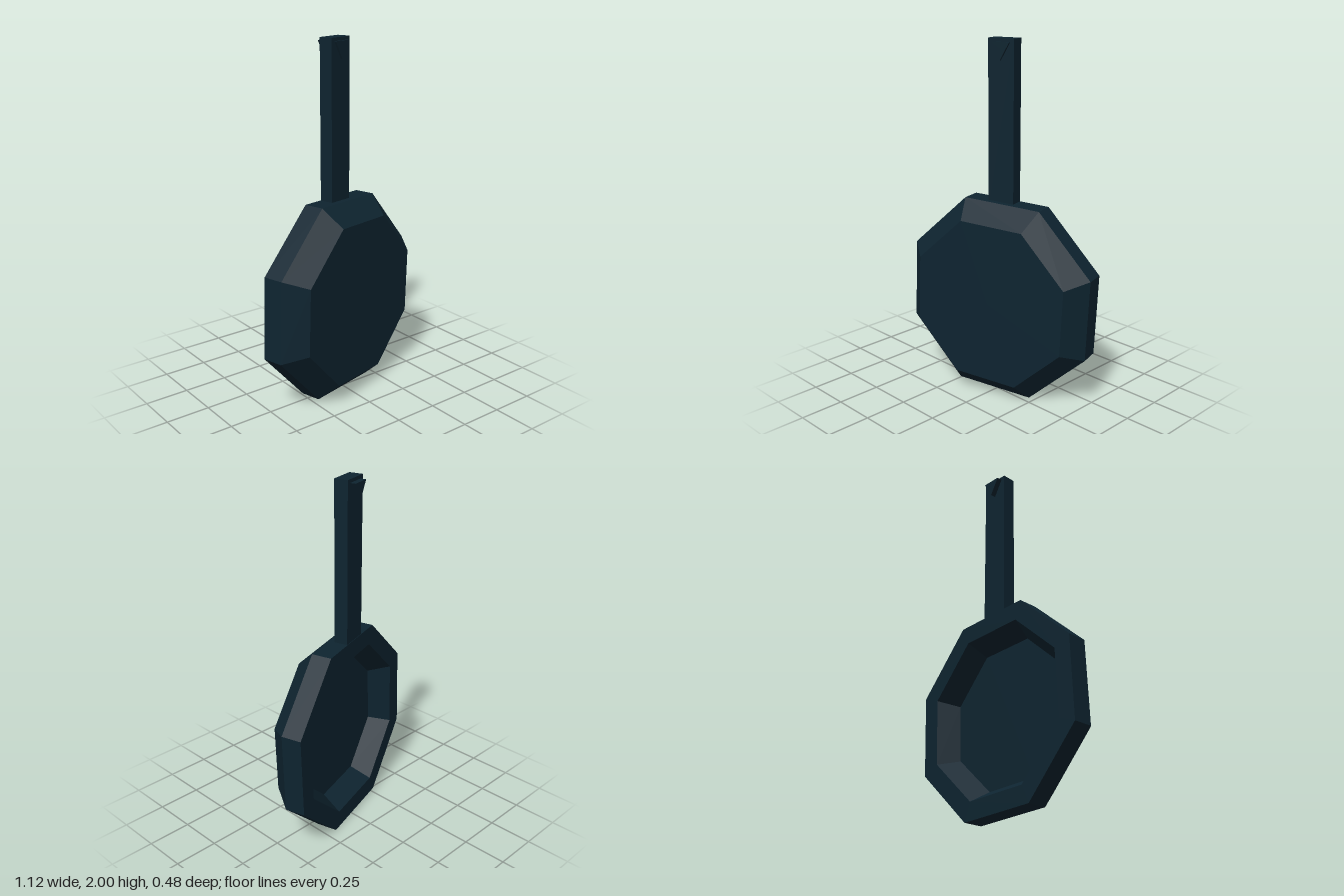
import * as THREE from 'three';

export function createModel() {
  const iron = new THREE.MeshStandardMaterial({ color: 0x0e2430, flatShading: true });
  iron.name = 'dark iron';

  const model = new THREE.Group();
  model.name = 'fryingPan';

  const add = (name, geometry, x, y, z) => {
    const mesh = new THREE.Mesh(geometry, iron);
    mesh.name = name;
    mesh.position.set(x, y, z);
    model.add(mesh);
  };

  // Octagonal pan: profile from cooking floor, over the rim, to the bevelled underside
  const profile = [
    [0, 0.018], [0.42, 0.018], [0.49, -0.098], [0.6, -0.098],
    [0.6, 0.016], [0.49, 0.128], [0, 0.128],
  ].map(([r, h]) => new THREE.Vector2(r, h));
  const pan = new THREE.LatheGeometry(profile, 8);
  pan.rotateX(Math.PI / 2);
  pan.rotateZ(THREE.MathUtils.degToRad(20.1));
  add('pan', pan, 0.01, 0.565, 0);

  // Straight handle set into the rim
  add('handle', new THREE.BoxGeometry(0.155, 0.94, 0.077), 0.01, 1.53, -0.057);

  // Triangular peg through the handle end, pointing down
  const peg = new THREE.CylinderGeometry(0.063, 0.063, 0.121, 3);
  peg.rotateX(Math.PI / 2);
  add('hangingPeg', peg, 0.01, 1.95, -0.0665);

  // The whole pan is turned slightly to its left
  model.rotation.y = THREE.MathUtils.degToRad(15);

  const root = new THREE.Group();
  root.name = 'model';
  root.add(model);
  return root;
}
